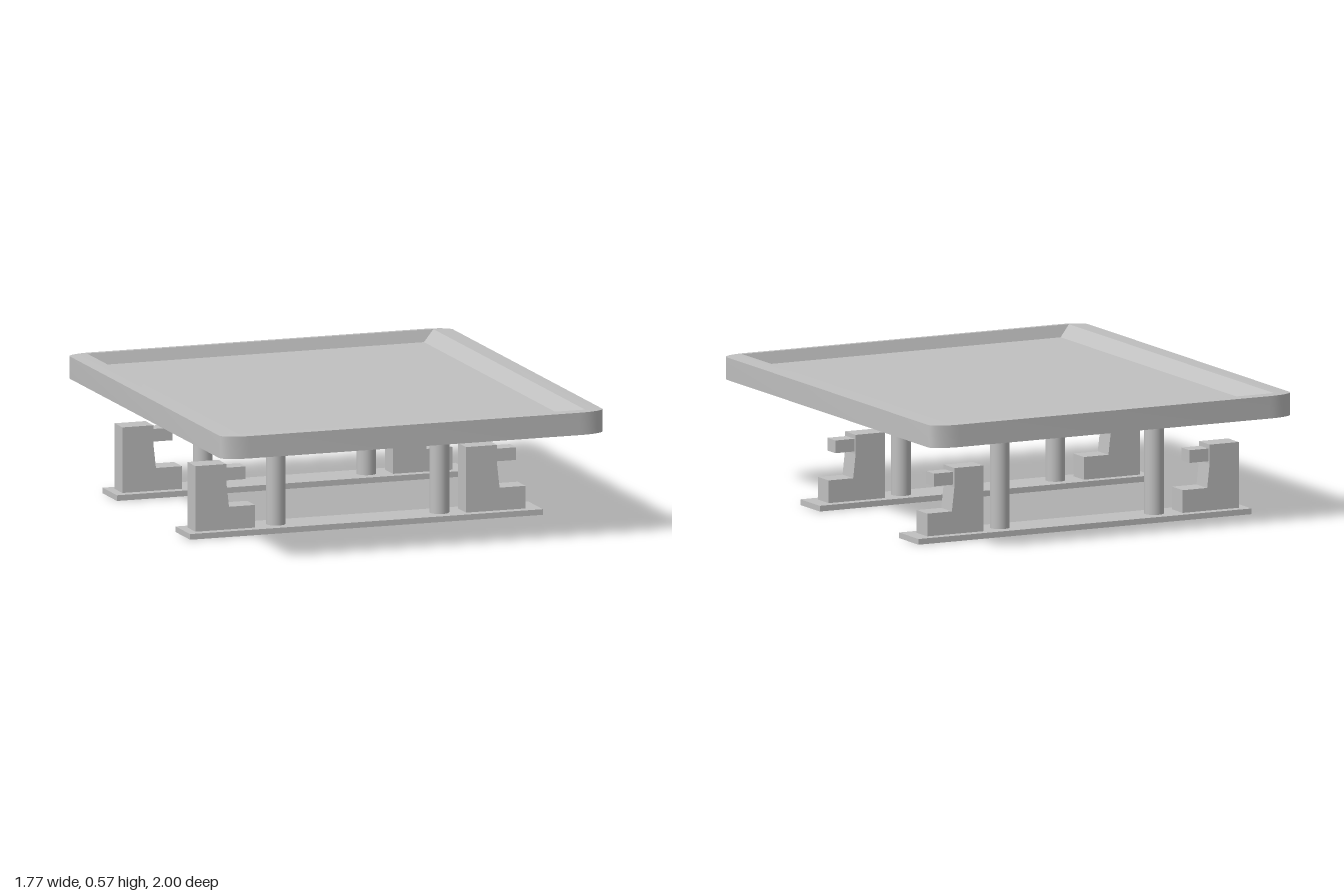
import * as THREE from 'three';
import { toCreasedNormals } from 'three/addons/utils/BufferGeometryUtils.js';

const STEPS = 8; // segments per tray corner

// Closed outline at height y: half sizes hx, hz with elliptical corners rx, rz
function ring(hx, hz, y, rx = 0, rz = 0) {
  const points = [];
  const signs = [[1, 1], [-1, 1], [-1, -1], [1, -1]];
  signs.forEach(([sx, sz], corner) => {
    for (let i = 0; i <= STEPS; i++) {
      const a = (corner + i / STEPS) * Math.PI / 2;
      points.push([sx * (hx - rx) + Math.cos(a) * rx, y, sz * (hz - rz) + Math.sin(a) * rz]);
    }
  });
  return points;
}

// Skin consecutive rings, ordered from the top centre over the rim to the bottom centre
function loft(rings) {
  const pos = [];
  for (let r = 0; r < rings.length - 1; r++) {
    const a = rings[r], b = rings[r + 1];
    for (let j = 0; j < a.length; j++) {
      const k = (j + 1) % a.length;
      pos.push(...a[j], ...a[k], ...b[j], ...a[k], ...b[k], ...b[j]);
    }
  }
  const g = new THREE.BufferGeometry();
  g.setAttribute('position', new THREE.Float32BufferAttribute(pos, 3));
  return toCreasedNormals(g, 0.5);
}

export function createModel() {
  const model = new THREE.Group();
  model.name = 'trayStand';
  const grey = new THREE.MeshStandardMaterial({ color: 0xc0c0c0 });
  grey.name = 'plain grey';

  const add = (parent, name, geometry, x = 0, y = 0, z = 0) => {
    const mesh = new THREE.Mesh(geometry, grey);
    mesh.name = name;
    mesh.position.set(x, y, z);
    parent.add(mesh);
    return mesh;
  };

  // Tray dished on both faces, with sloping walls
  add(model, 'tray', loft([
    ring(0, 0, 0.522),
    ring(0.75, 0.942, 0.522),
    ring(0.8, 0.96, 0.573),
    ring(0.885, 1, 0.569, 0.125, 0.055),
    ring(0.885, 1, 0.47, 0.125, 0.055),
    ring(0.8, 0.96, 0.468),
    ring(0.75, 0.942, 0.508),
    ring(0, 0, 0.508),
  ]));

  // Bracket: upright with a leaning web and a low foot
  const profile = new THREE.Shape([
    [0, 0], [0.275, 0], [0.275, 0.1], [0.155, 0.1], [0.143, 0.205],
    [0.143, 0.29], [0, 0.29],
  ].map(([x, y]) => new THREE.Vector2(x, y)));
  const bracketGeometry = new THREE.ExtrudeGeometry(profile, { depth: 0.1, bevelEnabled: false });
  bracketGeometry.translate(0, 0, -0.05);
  const stubGeometry = new THREE.BoxGeometry(0.1, 0.056, 0.076);
  const barGeometry = new THREE.BoxGeometry(1.63, 0.025, 0.183);
  const postGeometry = new THREE.CylinderGeometry(0.043, 0.043, 0.49, 24);

  // Two base bars, each with two posts and two brackets facing the same way
  for (const z of [0.295, -0.63]) {
    const base = new THREE.Group();
    base.name = z > 0 ? 'frontBase' : 'backBase';
    base.position.z = z;
    add(base, 'baseBar', barGeometry, 0, 0.0125, 0);
    for (const x of [-0.386, 0.37]) add(base, 'post', postGeometry, x, 0.268, 0);
    for (const x of [-0.775, 0.475]) {
      add(base, 'bracket', bracketGeometry, x, 0.025, 0);
      add(base, 'bracketStub', stubGeometry, x + 0.186, 0.268, 0);
    }
    model.add(base);
  }
  return model;
}
